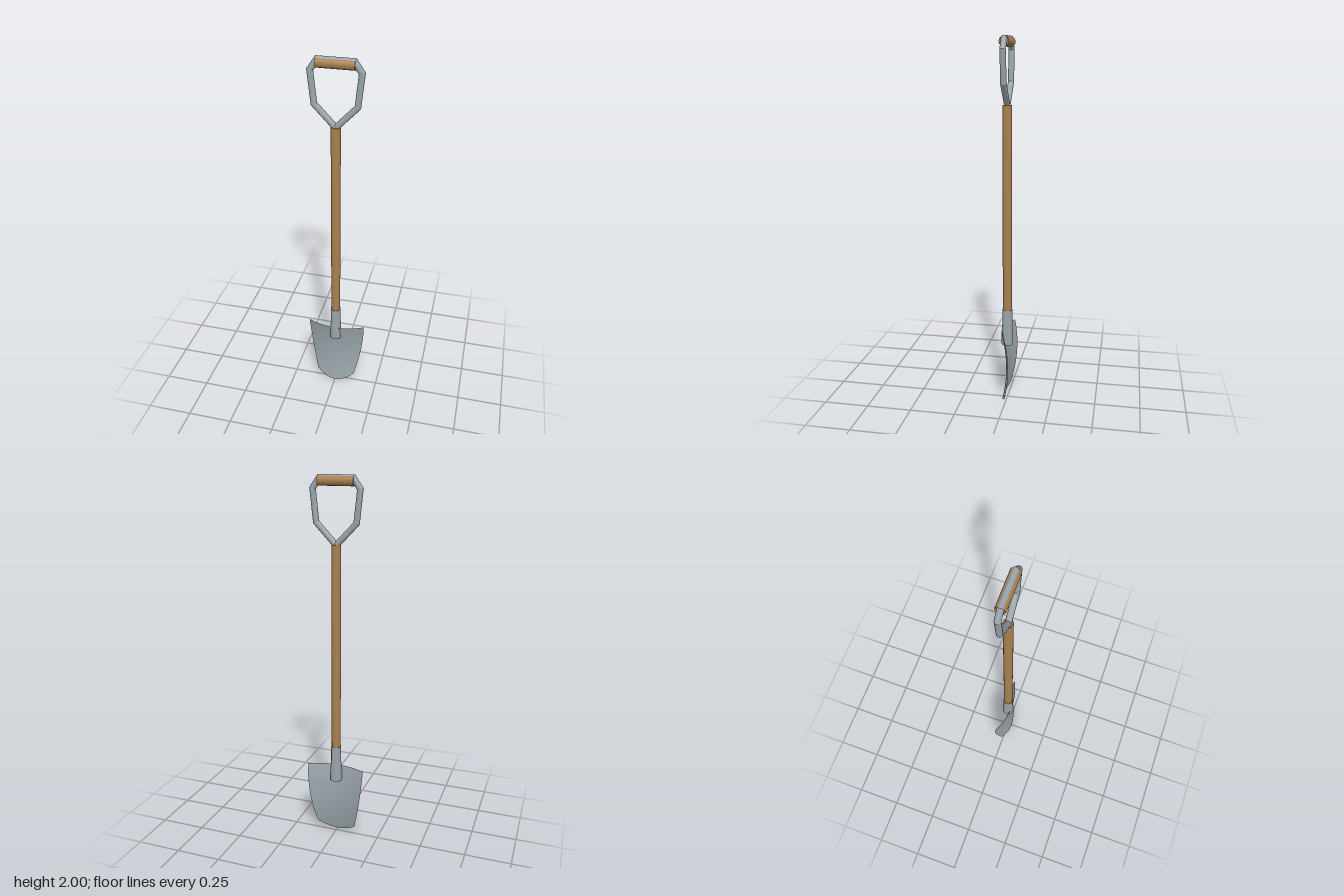
import * as THREE from 'three';
import { toCreasedNormals } from 'three/addons/utils/BufferGeometryUtils.js';

const steel = new THREE.MeshStandardMaterial({ color: 0x98a3a9 });
const sheet = new THREE.MeshStandardMaterial({ color: 0x98a3a9, side: THREE.DoubleSide });
const wood = new THREE.MeshStandardMaterial({ color: 0xa87f4e });

function addMesh(parent, name, geometry, material) {
  const mesh = new THREE.Mesh(geometry, material);
  mesh.name = name;
  parent.add(mesh);
  return mesh;
}

// Blade: a grid bent across its width and along its length
function bladeGeometry() {
  const geo = new THREE.PlaneGeometry(2, 1, 24, 20);
  const pos = geo.attributes.position;
  for (let i = 0; i < pos.count; i++) {
    const u = pos.getX(i);
    const t = pos.getY(i) + 0.5;
    const x = u * (0.112 + 0.051 * (1 - Math.pow(1 - t, 1.8)));
    const y = THREE.MathUtils.lerp(0.045 * u * u, 0.41, t);
    const z = 0.001 + 0.55 * (y - 0.205) ** 2 - 1.5 * x * x;
    pos.setXYZ(i, x, y, z);
  }
  geo.computeVertexNormals();
  return geo;
}

// Closed round tube with mitred corners along a loop in the xy plane
function mitredLoop(points, radius, sides = 16) {
  const n = points.length;
  const vertices = [];
  const indices = [];
  points.forEach((p, i) => {
    const before = p.clone().sub(points[(i + n - 1) % n]).normalize();
    const after = points[(i + 1) % n].clone().sub(p).normalize();
    const normalBefore = new THREE.Vector2(before.y, -before.x);
    const miter = new THREE.Vector2(after.y, -after.x).add(normalBefore).normalize();
    // limit the spike at the sharp lower joint
    miter.multiplyScalar(radius / Math.max(0.6, miter.dot(normalBefore)));
    for (let j = 0; j < sides; j++) {
      const a = (j / sides) * Math.PI * 2;
      const c = Math.cos(a);
      vertices.push(p.x + miter.x * c, p.y + miter.y * c, radius * Math.sin(a));
      const k = (j + 1) % sides;
      const r0 = i * sides;
      const r1 = ((i + 1) % n) * sides;
      indices.push(r0 + j, r1 + j, r1 + k, r0 + j, r1 + k, r0 + k);
    }
  });
  const geo = new THREE.BufferGeometry();
  geo.setAttribute('position', new THREE.Float32BufferAttribute(vertices, 3));
  geo.setIndex(indices);
  // make the faces point outward
  const a = new THREE.Vector3(), b = new THREE.Vector3(), c = new THREE.Vector3();
  let volume = 0;
  for (let i = 0; i < indices.length; i += 3) {
    [a, b, c].forEach((v, k) => v.fromArray(vertices, indices[i + k] * 3));
    volume += a.dot(b.cross(c));
  }
  if (volume < 0) geo.setIndex(indices.reverse());
  return toCreasedNormals(geo, 0.42);
}

export function createModel() {
  const model = new THREE.Group();
  model.name = 'spade';

  addMesh(model, 'blade', bladeGeometry(), sheet);

  // Socket flares slightly where it joins the blade
  const socketProfile = [[0, 0.33], [0.033, 0.33], [0.032, 0.4], [0.028, 0.45], [0.028, 0.535], [0, 0.535]]
    .map(([r, y]) => new THREE.Vector2(r, y));
  addMesh(model, 'socket', toCreasedNormals(new THREE.LatheGeometry(socketProfile, 24), 0.6), steel);

  // Wooden shaft
  const shaft = addMesh(model, 'shaft', new THREE.CylinderGeometry(0.025, 0.025, 1.135, 24), wood);
  shaft.position.y = 1.0875;

  // Handle frame: mirrored outline, closed at the shaft
  const half = [[0.108, 1.765], [0.126, 1.932], [0.09, 1.984]];
  const outline = [[0, 1.652], ...half, ...half.map(([x, y]) => [-x, y]).reverse()]
    .map(([x, y]) => new THREE.Vector2(x, y));
  const handle = new THREE.Group();
  handle.name = 'handle';
  addMesh(handle, 'handleFrame', mitredLoop(outline, 0.016), steel);

  // Wooden grip around the top bar
  const grip = addMesh(handle, 'grip', new THREE.CylinderGeometry(0.026, 0.026, 0.19, 24), wood);
  grip.rotation.z = Math.PI / 2;
  grip.position.y = 1.97;
  model.add(handle);

  return model;
}
